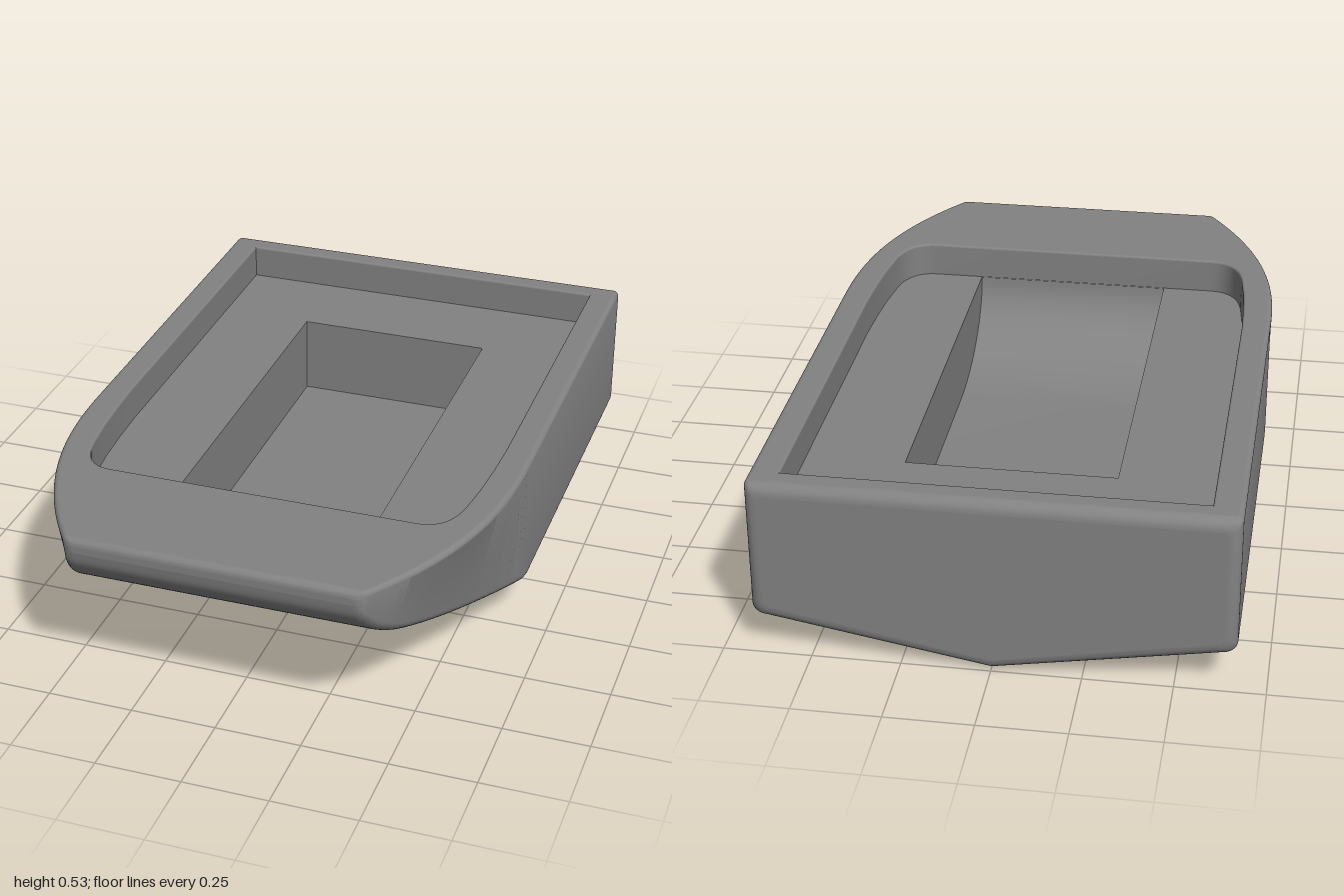
import * as THREE from 'three';
import { toCreasedNormals } from 'three/addons/utils/BufferGeometryUtils.js';

const TOP = 0.53, LEDGE = 0.425, STERN_R = 0.035, BOW_R = 0.02, LIP = 0.015, CHINE = 0.11;
const material = new THREE.MeshStandardMaterial({ color: 0x828282, side: THREE.DoubleSide });

// Skins equal-length rings of points; skip(i, j) leaves a quad open.
function loft(rings, skip, capStart, capEnd) {
  const n = rings[0].length, last = (rings.length - 1) * n, index = [];
  for (let i = 0; i < rings.length - 1; i++) {
    for (let j = 0; j < n; j++) {
      if (skip(i, j)) continue;
      const a = i * n + j, b = i * n + (j + 1) % n, c = b + n, d = a + n;
      index.push(a, d, b, b, d, c);
    }
  }
  for (let j = 1; j < n - 1; j++) {
    if (capStart) index.push(0, j, j + 1);
    if (capEnd) index.push(last, last + j + 1, last + j);
  }
  const geometry = new THREE.BufferGeometry();
  geometry.setAttribute('position', new THREE.Float32BufferAttribute(rings.flat(2), 3));
  geometry.setIndex(index);
  return toCreasedNormals(geometry, 0.3);
}

// Flat horizontal panel from [x, z] outlines.
function panel(outline, y, hole) {
  const flat = (points) => points.map(([x, z]) => new THREE.Vector2(x, -z));
  const shape = new THREE.Shape(flat(outline));
  if (hole) shape.holes.push(new THREE.Path(flat(hole)));
  return new THREE.ShapeGeometry(shape).rotateX(-Math.PI / 2).translate(0, y, 0);
}

const mirrorX = (points) => [...points, ...points.slice().reverse().map(([x, ...rest]) => [-x, ...rest])];

// Half width at the deck, and how much narrower the flared bow is at the chine
const bowward = (z) => Math.min(1, Math.max(0, (z - 0.2) / 0.8));
const halfWidth = (z) => 0.667 - 0.247 * Math.pow(bowward(z), 2.4);
const flare = (z) => 0.07 * Math.sin(Math.PI * bowward(z));

// Edge rounding at the two ends
function endInset(z) {
  const round = (r, d) => (d > 0 ? r - Math.sqrt(Math.max(0, r * r - d * d)) : 0);
  return round(STERN_R, -1 + STERN_R - z) + round(BOW_R, z - 1 + BOW_R);
}

// Hull cross-section: rounded gunwale, side, rounded chine, shallow V keel
function hullSection([z, bottom]) {
  const inset = endInset(z), w = halfWidth(z) - inset, top = TOP - inset;
  const lift = z < 0 ? inset : 0, chine = bottom + lift, chineWidth = w - flare(z);
  const keel = z < 0.16 ? Math.max(0, CHINE * (z + 0.97) / 1.13) + lift : chine;
  const r = Math.min(0.035, 0.3 * (top - chine)), lip = Math.min(LIP, 0.5 * (top - chine));
  const half = [];
  for (let k = 0; k <= 8; k++) {
    const a = (k / 8) * Math.PI / 2;
    half.push([w - LIP + LIP * Math.sin(a), top - lip + lip * Math.cos(a), z]);
  }
  for (let k = 0; k <= 8; k++) {
    const a = (k / 8) * Math.PI / 2;
    half.push([chineWidth - r + r * Math.cos(a), chine + r - r * Math.sin(a), z]);
  }
  const other = half.slice().reverse().map(([x, y]) => [-x, y, z]);
  return [...half, [0, keel, z], ...other];
}

// Stations from stern to bow as [z, bottom height]
function hullStations() {
  const stations = [];
  for (let k = 8; k >= 0; k--) stations.push([-1 + STERN_R * (1 - Math.sin((k / 8) * Math.PI / 2)), CHINE]);
  for (let z = -0.9; z < 0.15; z += 0.1) stations.push([z, CHINE]);
  const forefoot = new THREE.SplineCurve([
    [0.16, CHINE], [0.4, 0.17], [0.6, 0.23], [0.8, 0.305], [0.9, 0.358], [0.96, 0.408], [0.99, 0.45], [1, 0.49],
  ].map(([z, y]) => new THREE.Vector2(z, y)));
  const curved = forefoot.getPoints(70).map((p) => [Math.min(p.x, 1), p.y]);
  return [...stations, ...curved].sort((a, b) => a[0] - b[0]);
}

// Cockpit outline with rounded forward corners, grown outwards by o
function cockpitOutline(o = 0) {
  const corner = new THREE.QuadraticBezierCurve(
    new THREE.Vector2(0.558, 0.49), new THREE.Vector2(0.54, 0.615), new THREE.Vector2(0.45, 0.615));
  const half = [[0.582, -0.918], [0.582, 0.15], [0.578, 0.27], [0.57, 0.39], ...corner.getPoints(10).map((p) => [p.x, p.y])];
  return mirrorX(half).map(([x, z]) => [x * (1 + o / 0.58), (z + 0.15) * (1 + o / 0.77) - 0.15]);
}

export function createModel() {
  const group = new THREE.Group();
  const add = (name, geometry) => {
    const mesh = new THREE.Mesh(geometry, material);
    mesh.name = name;
    group.add(mesh);
  };

  // Outer hull; the top stays open where the deck lies
  const stations = hullStations();
  const rings = stations.map(hullSection);
  const onDeck = ([z]) => z > -1 + STERN_R - 1e-6 && z < 1 - BOW_R + 1e-6;
  const lastPoint = rings[0].length - 1;
  add('hull', loft(rings, (i, j) => j === lastPoint && onDeck(stations[i]) && onDeck(stations[i + 1])));

  // Flat ends
  add('transom', loft([rings[0]], () => true, true, false));
  add('bowFace', loft([rings[rings.length - 1]], () => true, false, true));

  // Deck and rim around the cockpit
  const deckEdge = stations.filter(onDeck).map(([z]) => [halfWidth(z) - endInset(z) - LIP, z]);
  add('deck', panel(mirrorX(deckEdge), TOP, cockpitOutline(0.006)));

  // Cockpit walls with a softened lip
  const wallRings = [[0.006, TOP], [0.003, TOP - 0.001], [0.001, TOP - 0.003], [0, TOP - 0.006], [0, LEDGE]]
    .map(([o, y]) => cockpitOutline(o).map(([x, z]) => [x, y, z]));
  add('cockpitWall', loft(wallRings, () => false));

  // Ledge around the footwell
  const outline = cockpitOutline(), middle = outline.length / 2;
  const notch = mirrorX([[0.3, 0.615], [0.3, -0.635]]);
  add('ledge', panel([...outline.slice(0, middle), ...notch, ...outline.slice(middle)], LEDGE));

  // Footwell: flat floor sweeping up towards the bow
  const wellRings = [];
  const wellSection = (z, y) => wellRings.push([[-0.3, LEDGE, z], [-0.3, y, z], [0.3, y, z], [0.3, LEDGE, z]]);
  wellSection(-0.635, 0.183);
  for (let k = 0; k <= 16; k++) {
    const a = (k / 16) * Math.PI / 2;
    wellSection(0.205 + 0.41 * Math.sin(a), LEDGE - 0.001 - 0.241 * Math.cos(a));
  }
  add('footwell', loft(wellRings, (i, j) => j === 3, true, false));

  return group;
}
